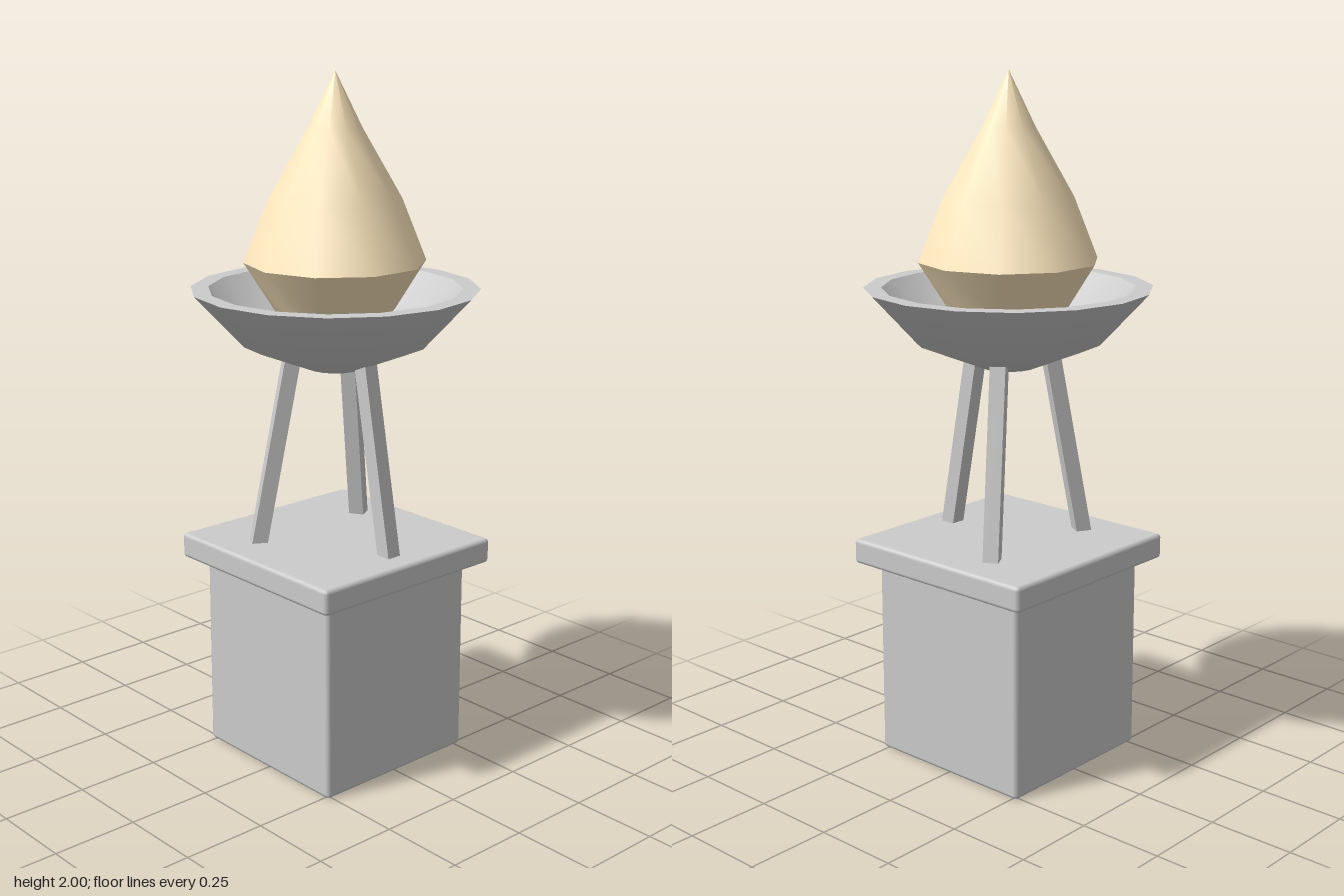
import * as THREE from 'three';
import { toCreasedNormals } from 'three/addons/utils/BufferGeometryUtils.js';
import { RoundedBoxGeometry } from 'three/addons/geometries/RoundedBoxGeometry.js';

const grey = new THREE.MeshStandardMaterial({ color: 0xcccccc });
const cream = new THREE.MeshStandardMaterial({ color: 0xffe9bf });

export function createModel() {
  const model = new THREE.Group();

  const add = (name, geometry, material = grey) => {
    const mesh = new THREE.Mesh(geometry, material);
    mesh.name = name;
    model.add(mesh);
    return mesh;
  };

  // Turned parts: smooth around, sharp at strong profile corners
  const turned = (points, sides) => toCreasedNormals(
    new THREE.LatheGeometry(points.map(([r, y]) => new THREE.Vector2(r, y)), sides), 0.7);

  // Pedestal block and its cap, both with narrow bevels
  add('pedestal', new RoundedBoxGeometry(0.535, 0.58, 0.535, 1, 0.012)).position.y = 0.29;
  add('pedestalCap', new RoundedBoxGeometry(0.64, 0.075, 0.64, 1, 0.012)).position.y = 0.6225;

  // Three square legs leaning in towards the bowl
  const foot = new THREE.Vector2(0.23, 0.645);
  const top = new THREE.Vector2(0.123, 1.22);
  const run = top.clone().sub(foot);
  const legGeometry = new THREE.BoxGeometry(0.045, run.length(), 0.045);
  legGeometry.rotateZ(Math.atan2(-run.x, run.y));
  legGeometry.translate((foot.x + top.x) / 2, (foot.y + top.y) / 2, 0);
  for (let i = 0; i < 3; i++) {
    add('leg' + (i + 1), legGeometry).rotation.y = i * Math.PI * 2 / 3;
  }

  // Hollow bowl: underside, flat rim, then the inside
  add('bowl', turned([
    [0, 1.17], [0.08, 1.17], [0.27, 1.248], [0.41, 1.4],
    [0.36, 1.4], [0.24, 1.28], [0.07, 1.22], [0, 1.22],
  ], 16));

  // Flame
  add('flame', turned([
    [0, 1.33], [0.17, 1.335], [0.258, 1.475], [0.188, 1.65], [0.076, 1.845], [0, 2],
  ], 10), cream);

  return model;
}
